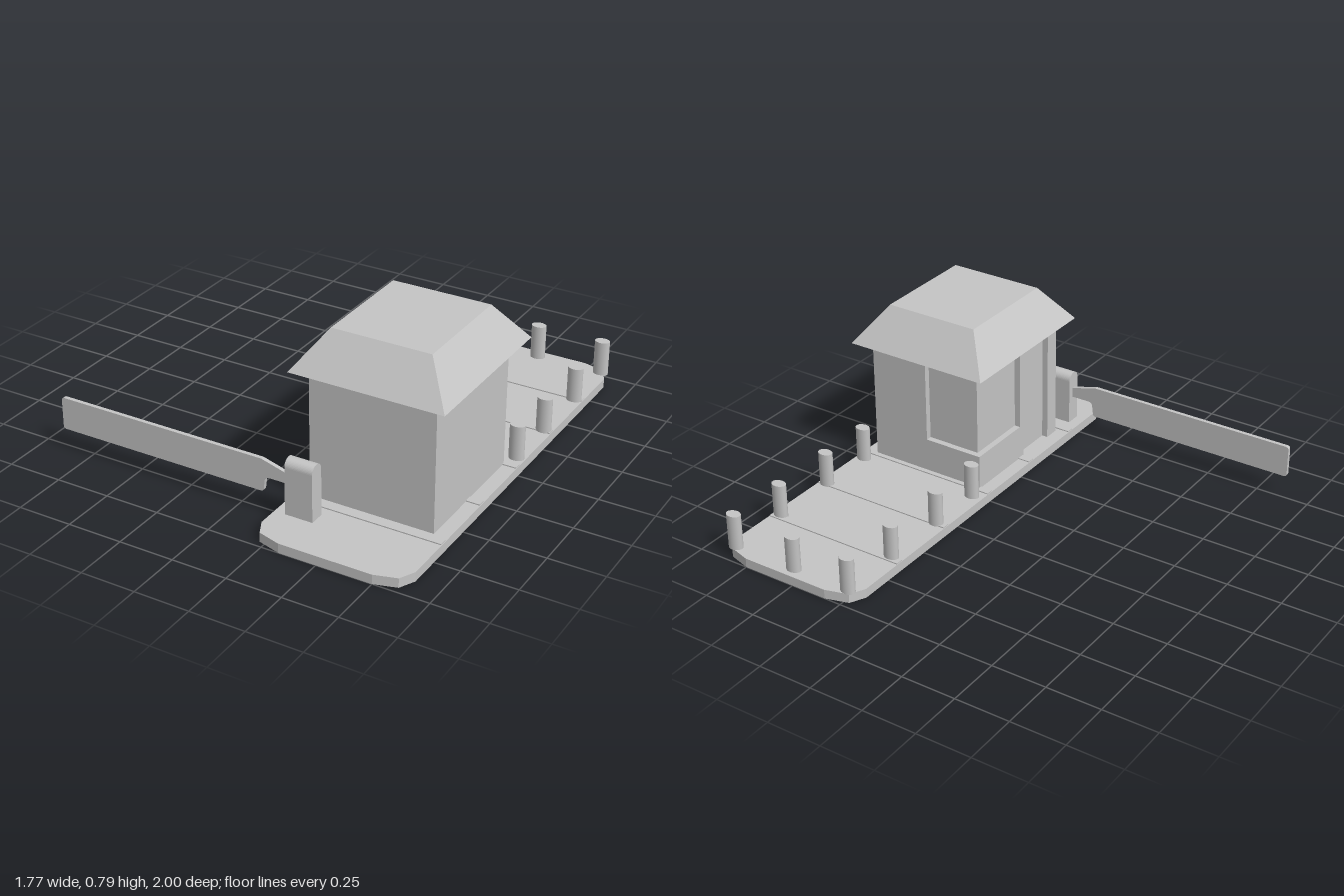
import * as THREE from 'three';

export function createModel() {
  const model = new THREE.Group();
  const grey = new THREE.MeshStandardMaterial({ color: 0xc4c4c4 });
  grey.name = 'plain grey';

  function add(name, geometry, x = 0, y = 0, z = 0) {
    const mesh = new THREE.Mesh(geometry, grey);
    mesh.name = name;
    mesh.position.set(x, y, z);
    model.add(mesh);
    return mesh;
  }
  const outline = (pts) => new THREE.Shape(pts.map(([x, y]) => new THREE.Vector2(x, y)));
  const extrude = (shape, depth) =>
    new THREE.ExtrudeGeometry(shape, { depth, bevelEnabled: false, curveSegments: 10 });
  // Extrudes a floor plan given as [x, z] points upwards
  const plan = (pts, height) =>
    extrude(outline(pts.map(([x, z]) => [x, -z])), height).rotateX(-Math.PI / 2);

  // Island slab with clipped corners
  const deck = 0.043;
  add('island', plan([
    [0.19, 0.9], [0.225, 0.97], [0.33, 1], [0.75, 1], [0.85, 0.97], [0.885, 0.9],
    [0.885, -0.9], [0.85, -0.97], [0.75, -1], [0.33, -1], [0.225, -0.97], [0.19, -0.9],
  ], deck));

  // Low ridges across the slab
  for (const z of [-0.67, -0.335, 0, 0.335, 0.67]) {
    add('slabRidge', new THREE.BoxGeometry(0.69, 0.006, 0.035), 0.5375, deck + 0.002, z);
  }

  // Booth: the door is a recess in the wall, the window wraps round a corner
  const L = 0.25, R = 0.82, B = 0.005, F = 0.63, d = 0.028, sill = 0.205, top = 0.615;
  const door = [[L, 0.56], [L + d, 0.56], [L + d, 0.36], [L, 0.36]];
  const wall = [[R, B], [R, F], [L, F], ...door];
  add('boothBase', plan([...wall, [L, B]], sill - deck), 0, deck);
  add('boothUpper', plan([
    ...wall, [L, 0.33], [L + d, 0.33], [L + d, B + d], [0.535, B + d], [0.535, B],
  ], top - sill), 0, sill);

  // Hipped roof from stacked rectangles: soffit, eave, flat top
  const rings = [
    [0.25, 0.82, 0.005, 0.63, 0.607],
    [0.19, 0.885, -0.065, 0.695, 0.622],
    [0.312, 0.76, 0.063, 0.565, 0.793],
  ].map(([x0, x1, z0, z1, y]) => [[x0, y, z1], [x1, y, z1], [x1, y, z0], [x0, y, z0]]);
  const tris = [];
  const quad = (a, b, c, e) => tris.push(...a, ...b, ...c, ...a, ...c, ...e);
  for (let r = 0; r < 2; r++) {
    for (let i = 0; i < 4; i++) {
      const j = (i + 1) % 4;
      quad(rings[r][i], rings[r][j], rings[r + 1][j], rings[r + 1][i]);
    }
  }
  quad(...rings[2]);
  quad(...[...rings[0]].reverse());
  const roof = new THREE.BufferGeometry();
  roof.setAttribute('position', new THREE.Float32BufferAttribute(tris, 3));
  roof.computeVertexNormals();
  add('roof', roof);

  // Oval bollards round the back of the island
  const spots = [[0.53, -0.95]];
  for (const z of [-0.95, -0.655, -0.335, -0.065]) spots.push([0.245, z], [0.845, z]);
  const bollard = new THREE.CylinderGeometry(1, 1, 0.165, 24).scale(0.035, 1, 0.026);
  for (const [x, z] of spots) add('bollard', bollard, x, 0.123, z);

  // Barrier housing with a rounded top
  const w = 0.035, armZ = 0.77;
  const housing = new THREE.Shape();
  housing.moveTo(-w, deck);
  housing.lineTo(w, deck);
  housing.lineTo(w, 0.295 - w);
  housing.absarc(0, 0.295 - w, w, 0, Math.PI, false);
  housing.lineTo(-w, deck);
  add('barrierHousing', extrude(housing, 0.128).rotateY(Math.PI / 2), 0.24, 0, armZ);

  // Barrier arm, narrowing where it meets the housing
  const arm = new THREE.Shape();
  arm.moveTo(-0.87, 0.1);
  arm.lineTo(0.11, 0.1);
  arm.quadraticCurveTo(0.124, 0.1, 0.125, 0.115);
  arm.lineTo(0.13, 0.155);
  arm.quadraticCurveTo(0.132, 0.168, 0.15, 0.17);
  arm.lineTo(0.26, 0.17);
  arm.lineTo(0.26, 0.21);
  arm.lineTo(0.24, 0.215);
  arm.lineTo(0.115, 0.25);
  arm.lineTo(-0.87, 0.25);
  arm.quadraticCurveTo(-0.885, 0.25, -0.885, 0.235);
  arm.lineTo(-0.885, 0.115);
  arm.quadraticCurveTo(-0.885, 0.1, -0.87, 0.1);
  add('barrierArm', extrude(arm, 0.018), 0, 0, armZ - 0.009);

  return model;
}
